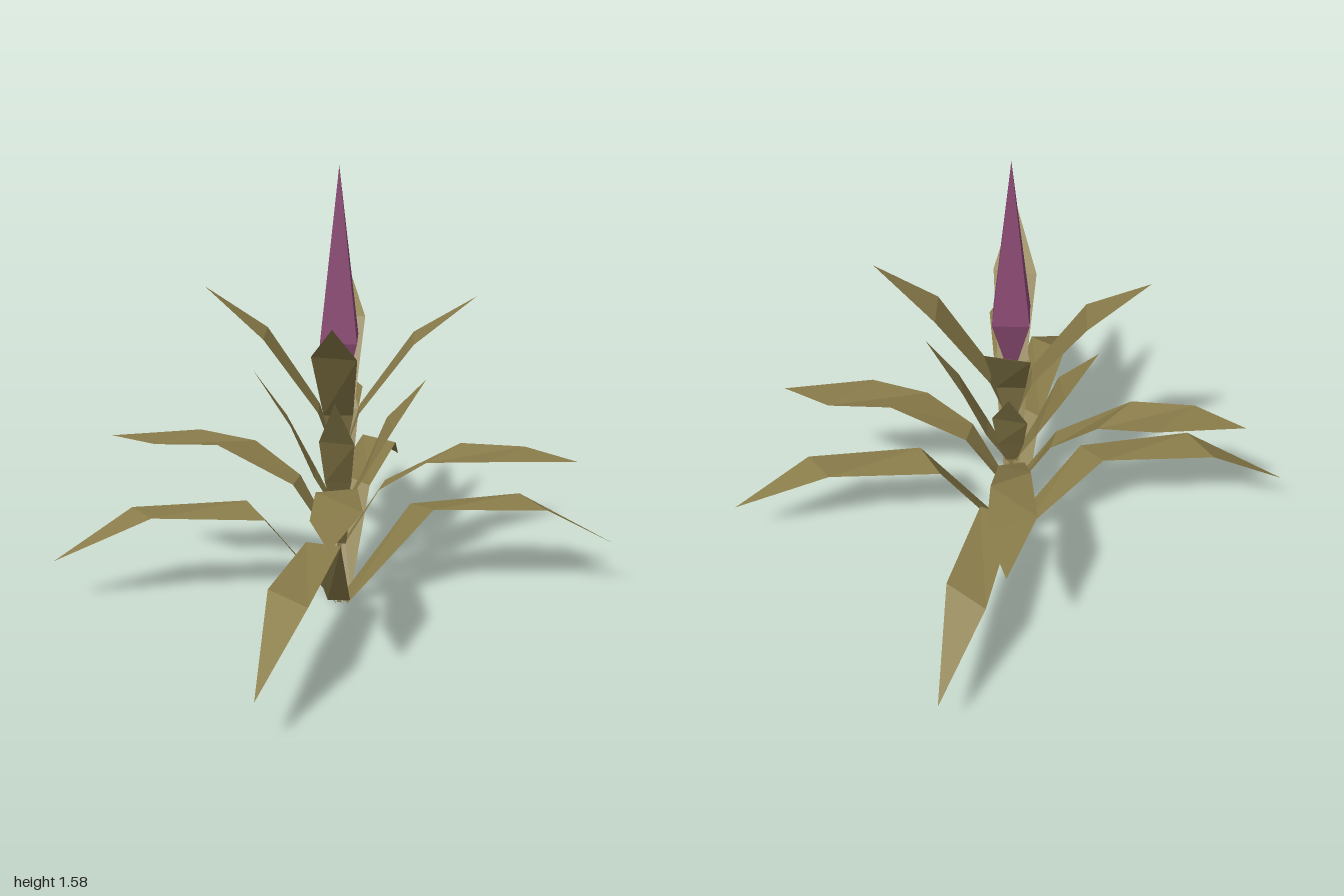
import * as THREE from 'three';

const leafMat = new THREE.MeshStandardMaterial({ color: 0x8a7c4a, side: THREE.DoubleSide, flatShading: true });
leafMat.name = 'olive leaf';
const budMat = new THREE.MeshStandardMaterial({ color: 0x8a4a73, flatShading: true });
budMat.name = 'purple bud';

// Ribbon leaf pointing to +x. Section: [reach, height, sideways offset, half width, skew, edge height difference]
function leafGeometry(sections, tip) {
  const rows = sections.map(([r, y, t, w, skew = 0, dy = 0]) => [
    [r - skew, y - dy, t - w],
    [r + skew, y + dy, t + w],
  ]);
  const pos = [];
  for (let i = 0; i < rows.length - 1; i++) {
    const [a, b] = rows[i], [c, d] = rows[i + 1];
    pos.push(...a, ...b, ...c, ...b, ...d, ...c);
  }
  const [a, b] = rows[rows.length - 1];
  pos.push(...a, ...b, ...tip);
  const geo = new THREE.BufferGeometry();
  geo.setAttribute('position', new THREE.Float32BufferAttribute(pos, 3));
  geo.computeVertexNormals();
  return geo;
}

// Each tier has one leaf shape for the sides and one for front and back
const tiers = [
  {
    name: 'bottomLeaf',
    side: leafGeometry([[0.02, 0.01, 0, 0.035, 0.01], [0.29, 0.365, -0.03, 0.055, 0.04, 0.013],
      [0.685, 0.37, -0.08, 0.06, 0.045, -0.006]], [1, 0.19, -0.11]),
    front: leafGeometry([[0.03, 0.02, 0, 0.04], [0.28, 0.36, 0.04, 0.06, -0.035, -0.01],
      [0.68, 0.367, 0.125, 0.066, -0.05, 0.004]], [0.98, 0.185, 0.2]),
  },
  {
    name: 'lowerLeaf',
    side: leafGeometry([[0.02, 0.24, 0, 0.025], [0.15, 0.465, 0.015, 0.045, -0.01],
      [0.36, 0.595, 0.03, 0.06, -0.06, -0.014], [0.57, 0.604, 0.055, 0.075, -0.07]], [0.81, 0.593, 0.085]),
    front: leafGeometry([[0.02, 0.24, 0, 0.025], [0.15, 0.465, -0.005, 0.045, 0.01],
      [0.37, 0.595, -0.01, 0.065, 0.05, 0.014], [0.59, 0.604, -0.02, 0.08, 0.035]], [0.815, 0.593, -0.01]),
  },
  {
    name: 'upperLeaf',
    side: leafGeometry([[0.01, 0.36, 0, 0.02], [0.085, 0.5, 0, 0.045], [0.175, 0.69, 0.005, 0.06, 0.012]],
      [0.295, 0.86, 0.03]),
    front: leafGeometry([[0.01, 0.36, 0, 0.02], [0.085, 0.5, 0, 0.045], [0.175, 0.68, 0, 0.06, -0.012]],
      [0.295, 0.865, 0]),
  },
  {
    name: 'topLeaf',
    side: leafGeometry([[0.012, 0.56, 0, 0.02], [0.07, 0.74, 0, 0.05], [0.25, 1, 0.015, 0.075]],
      [0.455, 1.155, 0.04]),
    front: leafGeometry([[0.012, 0.56, 0, 0.02], [0.07, 0.74, 0, 0.05], [0.25, 1, 0.005, 0.075, -0.015]],
      [0.46, 1.16, 0]),
  },
];

export function createModel() {
  const plant = new THREE.Group();
  plant.name = 'plant';

  for (const tier of tiers) {
    for (let i = 0; i < 4; i++) {
      const leaf = new THREE.Mesh(i % 2 ? tier.front : tier.side, leafMat);
      leaf.name = tier.name;
      leaf.rotation.y = i * Math.PI / 2;
      plant.add(leaf);
    }
  }

  // Thin central stem
  const stem = new THREE.Mesh(new THREE.BoxGeometry(0.016, 0.76, 0.016), leafMat);
  stem.name = 'stem';
  stem.position.y = 0.38;
  plant.add(stem);

  // Four-sided bud: long spike above, short point below
  const r = 0.062 * Math.SQRT2;
  const addCone = (name, top, bottom, y0, y1) => {
    const geo = new THREE.CylinderGeometry(top, bottom, y1 - y0, 4, 1, true).rotateY(Math.PI / 4);
    const cone = new THREE.Mesh(geo, budMat);
    cone.name = name;
    cone.position.y = (y0 + y1) / 2;
    plant.add(cone);
  };
  addCone('budSpike', 0, r, 0.99, 1.575);
  addCone('budBase', r, 0, 0.72, 0.99);

  return plant;
}
